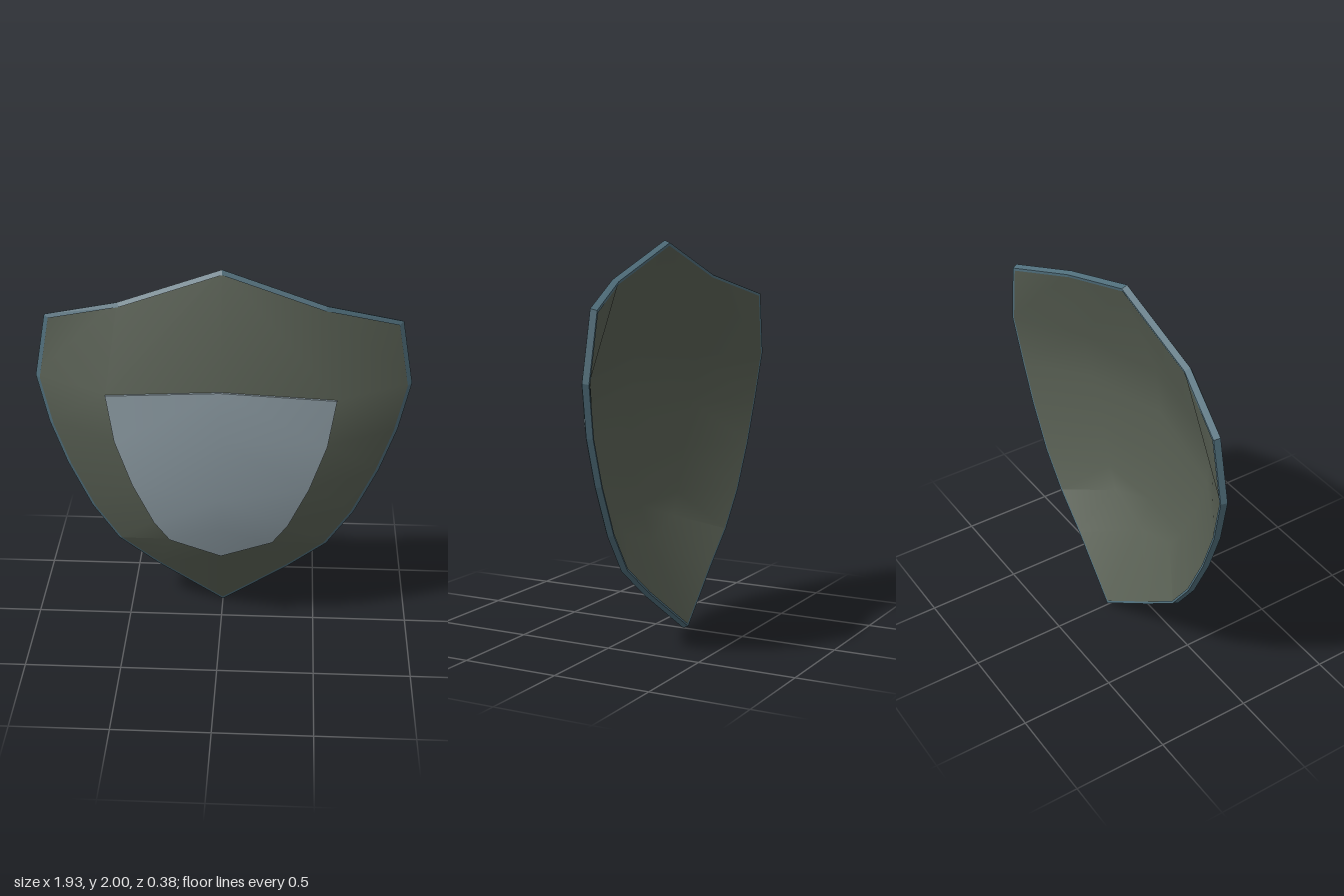
import * as THREE from 'three';

// Half cross-sections from top to bottom: [centre, crease, outer edge]
const ROWS = [
  [[0, 2, -0.05], [0.52, 1.82, -0.045], [0.905, 1.705, -0.15]],
  [[0, 1.435, 0.153], [0.58, 1.37, 0.08], [0.965, 1.37, -0.14]],
  [[0, 1.18, 0.178], [0.54, 1.12, 0.096], [0.905, 1.11, -0.125]],
  [[0, 0.83, 0.163], [0.455, 0.87, 0.097], [0.82, 0.87, -0.12]],
  [[0, 0.62, 0.118], [0.35, 0.64, 0.082], [0.70, 0.615, -0.115]],
  [[0, 0.43, 0.062], [0.27, 0.525, 0.066], [0.56, 0.415, -0.11]],
  [[0, 0, -0.16], [0.35, 0.25, -0.122], [0.56, 0.415, -0.11]],
];

const mirror = ([x, y, z]) => [-x, y, z];
// Full row from -x to +x
const fullRow = (half) => [...half.slice(1).reverse().map(mirror), ...half];
// Closed clockwise loop from a right-hand outline running top to bottom
const closedLoop = (half) => [...half, ...half.slice(0, -1).reverse().map(mirror)];
// Shrink a point towards the shield's middle and shift it in depth
const inset = (k, dz) => ([x, y, z]) => [x * k, 1 + (y - 1) * k, z + dz];

// Skin a grid of points; diagonals are mirrored about the middle column
function skin(rows, flat = false) {
  const n = rows[0].length;
  const index = [];
  for (let i = 0; i < rows.length - 1; i++) {
    for (let j = 0; j < n - 1; j++) {
      const a = i * n + j, b = a + 1, c = a + n, d = c + 1;
      if (j < (n - 1) / 2) index.push(a, c, b, b, c, d);
      else index.push(a, c, d, a, d, b);
    }
  }
  let geo = new THREE.BufferGeometry();
  geo.setAttribute('position', new THREE.Float32BufferAttribute(rows.flat(2), 3));
  geo.setIndex(index);
  if (flat) geo = geo.toNonIndexed();
  geo.computeVertexNormals();
  return geo;
}

export function createModel() {
  const group = new THREE.Group();
  const add = (name, geo, color) => {
    const mesh = new THREE.Mesh(geo, new THREE.MeshStandardMaterial({ color }));
    mesh.name = name;
    group.add(mesh);
  };
  const bodyColor = 0x575e52, rimColor = 0x4f6d7a, plateColor = 0x8e9da5;

  // Curved shield body: convex front and hollow back
  const front = ROWS.map(fullRow);
  const toBack = inset(0.988, -0.03);
  add('shieldFront', skin(front), bodyColor);
  add('shieldBack', skin(front.map((r) => r.map(toBack).reverse())), bodyColor);

  // Rim: back lip, outer wall and front lip
  const outline = closedLoop([
    ROWS[0][0], ROWS[0][1], ...ROWS.slice(0, 6).map((r) => r[2]), ROWS[6][1], ROWS[6][0],
  ]);
  const backEdge = outline.map(toBack);
  const strips = [backEdge.map(inset(0.985, 0.003)), backEdge, outline, outline.map(inset(0.977, 0.015))];
  add('rim', skin(strips, true), rimColor);

  // Raised central plate with thin side walls
  const raise = ([x, y, z]) => [x, y, z + 0.012];
  const plateRows = ROWS.slice(1, 6).map((r) => r.slice(0, 2));
  add('centrePlate', skin(plateRows.map((r) => fullRow(r).map(raise))), plateColor);
  const plateEdge = closedLoop([plateRows[0][0], ...plateRows.map((r) => r[1]), plateRows[4][0]]);
  add('centrePlateSides', skin([plateEdge, plateEdge.map(raise)], true), plateColor);

  return group;
}
